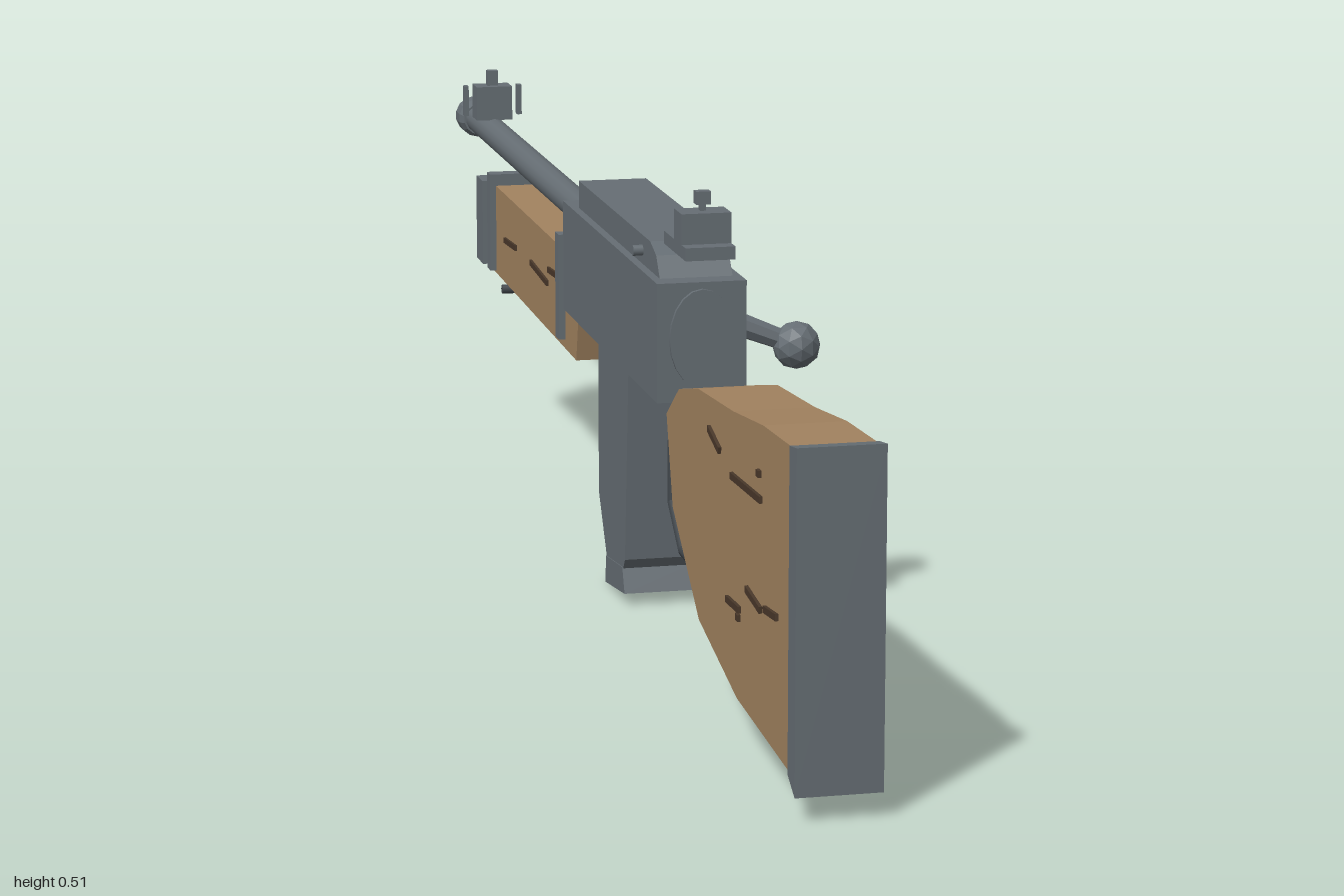
import * as THREE from 'three';

const mat = (name, color, extra = {}) => {
  const m = new THREE.MeshStandardMaterial({ color, ...extra });
  m.name = name;
  return m;
};

export function createModel() {
  const steel = mat('steel', 0x666e74);
  const steelFlat = mat('steel', 0x666e74);
  steelFlat.flatShading = true;
  const dark = mat('dark steel', 0x43494e);
  const wood = mat('wood', 0xa28360);
  const grain = mat('wood grain', 0x49382a);

  const model = new THREE.Group();
  model.name = 'rifle';
  const body = new THREE.Group(); // parts are symmetric about this group's x = 0
  body.name = 'body';
  body.position.x = -0.055;
  model.add(body);

  const add = (name, geo, material) => {
    const mesh = new THREE.Mesh(geo, material);
    mesh.name = name;
    body.add(mesh);
    return mesh;
  };
  // box from min/max ranges
  const box = (name, [x0, x1], [y0, y1], [z0, z1], m = steel) =>
    add(name, new THREE.BoxGeometry(x1 - x0, y1 - y0, z1 - z0), m)
      .position.set((x0 + x1) / 2, (y0 + y1) / 2, (z0 + z1) / 2);
  // side profile given as [z, y] points, extruded across x
  const slab = (name, pts, width, m) => {
    const shape = new THREE.Shape(pts.map(p => new THREE.Vector2(...p)));
    const geo = new THREE.ExtrudeGeometry(shape, { depth: width, bevelEnabled: false });
    return add(name, geo.translate(0, 0, -width / 2).rotateY(-Math.PI / 2), m);
  };
  // cylinder between two points
  const rod = (name, a, b, r0, r1, sides, m) => {
    const A = new THREE.Vector3(...a), B = new THREE.Vector3(...b);
    const d = B.clone().sub(A);
    const mesh = add(name, new THREE.CylinderGeometry(r1, r0, d.length(), sides), m);
    mesh.position.copy(A).add(B).multiplyScalar(0.5);
    mesh.quaternion.setFromUnitVectors(new THREE.Vector3(0, 1, 0), d.normalize());
    return mesh;
  };

  // shoulder stock and butt plate
  slab('stock', [[0.97, 0.365], [0.86, 0.36], [0.735, 0.346], [0.58, 0.335], [0.49, 0.315], [0.43, 0.275],
    [0.46, 0.18], [0.585, 0.09], [0.755, 0.055], [0.97, 0.045]], 0.084, wood);
  slab('buttPlate', [[1, 0.37], [0.972, 0.366], [0.972, 0.043], [1, 0.028]], 0.088, steel);

  // receiver, rear cap and top cover
  box('receiver', [-0.049, 0.049], [0.283, 0.413], [-0.1, 0.415]);
  const cap = rod('receiverCap', [0, 0.352, 0.405], [0, 0.352, 0.42], 0.036, 0.036, 20, steel);
  cap.scale.z = 1.5;
  rod('barrelCollar', [0, 0.37, -0.09], [0, 0.37, -0.108], 0.034, 0.034, 16, steel);
  slab('topCover', [[0.39, 0.41], [0.37, 0.435], [0.34, 0.445], [-0.05, 0.445], [-0.05, 0.41]], 0.08, steel);
  box('sideRail', [0.045, 0.057], [0.395, 0.414], [0.04, 0.28]);
  rod('crossPin', [-0.051, 0.428, 0.3], [0.051, 0.428, 0.3], 0.006, 0.006, 8, steel);

  // bolt handle
  rod('boltStem', [0.04, 0.35, 0.28], [0.135, 0.313, 0.292], 0.015, 0.011, 8, steelFlat);
  add('boltKnob', new THREE.IcosahedronGeometry(0.027, 1), steelFlat).position.set(0.135, 0.313, 0.293);

  // rear sight
  box('rearSightBase', [-0.027, 0.027], [0.444, 0.458], [0.35, 0.455]);
  box('rearSightBlock', [-0.027, 0.027], [0.458, 0.491], [0.4, 0.436]);
  box('rearSightStem', [-0.003, 0.003], [0.49, 0.5], [0.412, 0.42]);
  box('rearSightTip', [-0.008, 0.008], [0.498, 0.512], [0.41, 0.422]);

  // barrel and muzzle
  rod('barrel', [0, 0.378, -0.09], [0, 0.378, -0.96], 0.0185, 0.0185, 14, steel);
  const muzzle = [[0, 0], [0.021, 0], [0.026, 0.012], [0.026, 0.04], [0.021, 0.06], [0, 0.06]]
    .map(p => new THREE.Vector2(...p));
  add('muzzle', new THREE.LatheGeometry(muzzle, 14).rotateX(-Math.PI / 2), steelFlat).position.set(0, 0.378, -0.94);

  // front sight
  box('frontSightBlock', [-0.024, 0.024], [0.395, 0.44], [-0.856, -0.822]);
  for (const s of [-1, 1]) box('frontSightEar', [s * 0.036 - 0.003, s * 0.036 + 0.003], [0.4, 0.44], [-0.845, -0.833]);
  box('frontSightPost', [-0.007, 0.007], [0.44, 0.46], [-0.845, -0.833]);

  // fore-end with its bands, end cap and rod
  slab('foreEnd', [[-0.085, 0.34], [-0.085, 0.28], [-0.1, 0.22], [-0.668, 0.225], [-0.668, 0.34]], 0.068, wood);
  box('rearBand', [-0.042, 0.042], [0.232, 0.36], [-0.187, -0.165]);
  box('frontBand', [-0.042, 0.042], [0.228, 0.355], [-0.65, -0.628]);
  box('foreEndCap', [-0.045, 0.045], [0.23, 0.34], [-0.712, -0.666]);
  rod('cleaningRod', [0, 0.326, -0.7], [0, 0.326, -0.742], 0.013, 0.013, 10, steel);
  rod('slingPin', [-0.03, 0.206, -0.612], [0.03, 0.206, -0.612], 0.006, 0.006, 8, dark);

  // magazine and its floor plate
  slab('magazine', [[0.226, 0.285], [0.205, 0.055], [0.195, 0.042], [0.105, 0.032], [0.06, 0.1], [0.06, 0.285]], 0.08, steel);
  slab('magazineFloor', [[0.195, 0.044], [0.207, 0.016], [0.1, 0.002], [0.105, 0.034]], 0.082, steel);

  // wavy slots on one side of the magazine
  for (let i = 0; i < 5; i++) {
    for (let k = 0; k < 5; k++) {
      const seg = add('magazineSlot', new THREE.BoxGeometry(0.004, 0.026, 0.006), dark);
      seg.position.set(0.041, 0.16 - k * 0.024, 0.178 - i * 0.024);
      seg.rotation.x = (k % 2 ? 1 : -1) * 0.25;
    }
  }

  // trigger guard and trigger
  const path = (name, pts, r) => {
    const curve = new THREE.CurvePath();
    const v = pts.map(([z, y]) => new THREE.Vector3(0, y, z));
    for (let i = 1; i < v.length; i++) curve.add(new THREE.LineCurve3(v[i - 1], v[i]));
    for (let i = 1; i < v.length; i++) rod(name, v[i - 1].toArray(), v[i].toArray(), r, r, 8, dark);
    for (const p of v) add(name + 'Joint', new THREE.SphereGeometry(r, 8, 6), dark).position.copy(p);
  };
  path('triggerGuard', [[0.4, 0.2], [0.438, 0.155], [0.438, 0.125], [0.42, 0.098], [0.335, 0.098], [0.281, 0.14], [0.281, 0.208]], 0.008);
  path('trigger', [[0.376, 0.185], [0.364, 0.125]], 0.007);

  // grain marks: z, y, length, tilt
  const marks = [
    [0.797, 0.283, 0.125, 0.04], [0.66, 0.3, 0.05, -0.25], [0.9, 0.183, 0.05, 0.1], [0.83, 0.178, 0.06, -0.1],
    [0.745, 0.15, 0.055, 0.05], [0.85, 0.31, 0.01, 0], [0.765, 0.142, 0.01, 0],
    [-0.237, 0.3, 0.055, 0.05], [-0.325, 0.283, 0.11, -0.05], [-0.52, 0.283, 0.08, 0.05],
  ];
  for (const s of [-1, 1]) {
    for (const [z, y, len, tilt] of marks) {
      const m = add('grainMark', new THREE.BoxGeometry(0.005, 0.007, len), grain);
      m.position.set(s * (z > 0 ? 0.043 : 0.0345), y, z);
      m.rotation.x = -tilt;
    }
  }
  return model;
}
